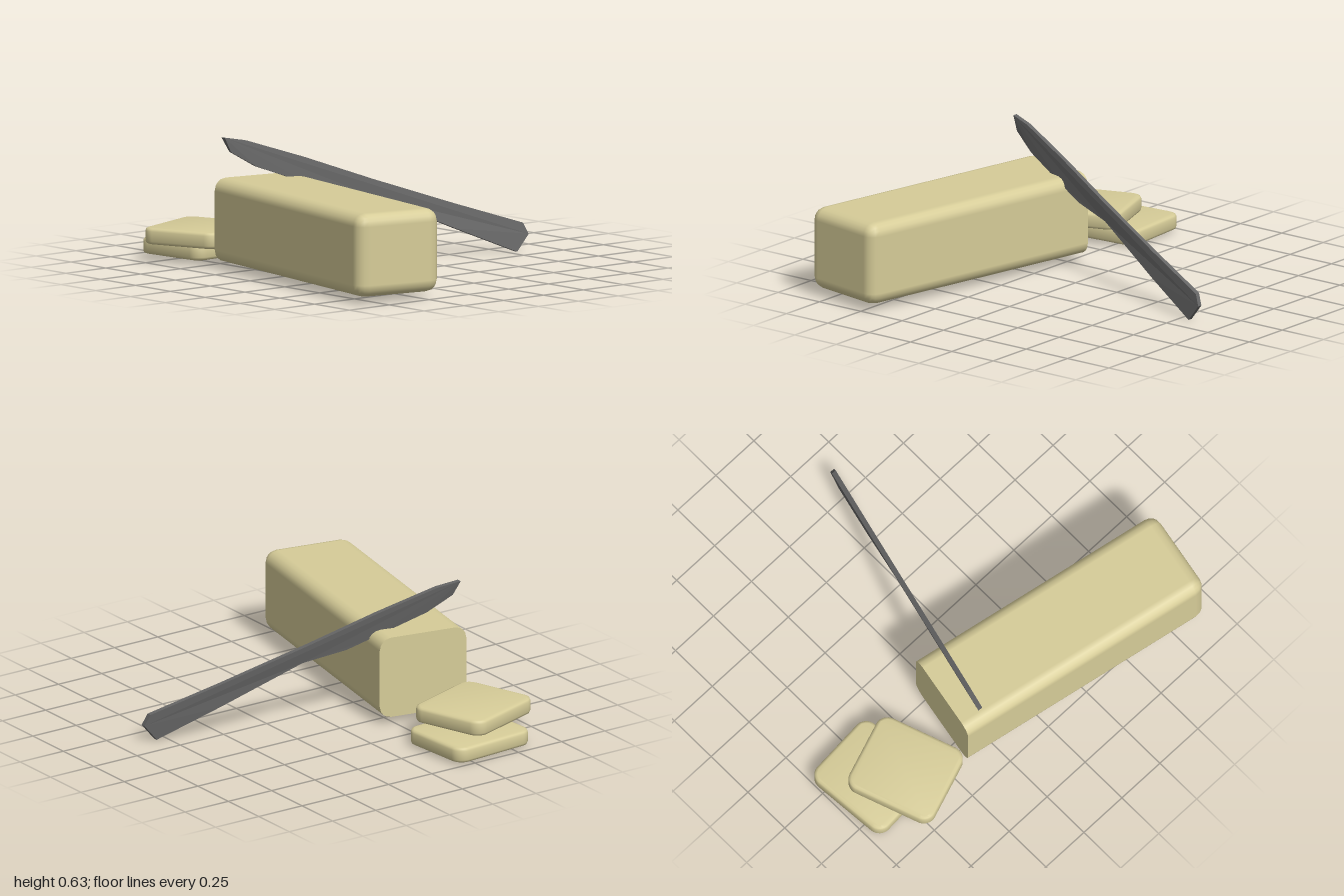
import * as THREE from 'three';
import { RoundedBoxGeometry } from 'three/addons/geometries/RoundedBoxGeometry.js';
import { toCreasedNormals } from 'three/addons/utils/BufferGeometryUtils.js';

const rad = THREE.MathUtils.degToRad;
const butterMat = new THREE.MeshStandardMaterial({ color: 0xd6cc98 });
const knifeMat = new THREE.MeshStandardMaterial({ color: 0x666666 });

// Rounded block whose -x end is cut off flat
function cutBlock(length, height, depth, r) {
  const geo = new RoundedBoxGeometry(length + r, height, depth, 2, r);
  const pos = geo.attributes.position, nor = geo.attributes.normal;
  const cut = -(length - r) / 2;
  for (let i = 0; i < pos.count; i++) pos.setX(i, Math.max(pos.getX(i), cut));
  for (let i = 0; i < pos.count; i += 3) {
    const onCut = [0, 1, 2].every((k) => pos.getX(i + k) < cut + 1e-4);
    if (onCut) for (let k = 0; k < 3; k++) nor.setXYZ(i + k, -1, 0, 0);
  }
  return geo.translate(-r / 2, 0, 0);
}

// Thin slab with rounded corners and softened rims, lying flat
function slice(w, d, h, r, bevel) {
  const x = w / 2 - bevel, y = d / 2 - bevel, q = r - bevel;
  const s = new THREE.Shape();
  s.absarc(x - q, y - q, q, 0, Math.PI / 2);
  s.absarc(-x + q, y - q, q, Math.PI / 2, Math.PI);
  s.absarc(-x + q, -y + q, q, Math.PI, Math.PI * 1.5);
  s.absarc(x - q, -y + q, q, Math.PI * 1.5, Math.PI * 2);
  const geo = new THREE.ExtrudeGeometry(s, {
    depth: h - 2 * bevel, curveSegments: 4,
    bevelThickness: bevel, bevelSize: bevel, bevelSegments: 2,
  });
  geo.translate(0, 0, -h / 2 + bevel).rotateX(-Math.PI / 2);
  return toCreasedNormals(geo, rad(50));
}

// Side outline (z, y) extruded, then laid along a slanted, slightly leaning plane
function knife() {
  const outline = [
    [0.63, 0.635], [0.52, 0.615], [0.24, 0.52], [-0.1, 0.392], [-0.5, 0.25], [-0.84, 0.135],
    [-0.865, 0.08], [-0.8, 0.0], [-0.5, 0.13], [-0.11, 0.305], [0.1, 0.345], [0.22, 0.39],
    [0.48, 0.49], [0.6, 0.565],
  ];
  const shape = new THREE.Shape(outline.map(([z, y]) => new THREE.Vector2(z, y)));
  const geo = new THREE.ExtrudeGeometry(shape, { depth: 1, bevelEnabled: false });
  const pos = geo.attributes.position;
  for (let i = 0; i < pos.count; i++) {
    const z = pos.getX(i), y = pos.getY(i);
    const drop = 0.43 + 0.345 * z - y; // distance below the spine
    const thick = z > -0.2 && drop > 0.05 ? 0.012 : 0.024; // thinner cutting edge
    const x = -0.135 - 0.313 * z + 0.12 * drop + (0.5 - pos.getZ(i)) * thick;
    pos.setXYZ(i, x, y, z);
  }
  geo.computeVertexNormals();
  return geo;
}

export function createModel() {
  const group = new THREE.Group();
  const add = (name, geo, mat, x = 0, y = 0, z = 0, turn = 0) => {
    const mesh = new THREE.Mesh(geo, mat);
    mesh.name = name;
    mesh.position.set(x, y, z);
    mesh.rotation.y = rad(turn);
    group.add(mesh);
  };

  add('butterBlock', cutBlock(1.35, 0.4, 0.45, 0.06), butterMat, 0.303, 0.23, 0.525, -10.7);
  add('lowerSlice', slice(0.4, 0.45, 0.075, 0.06, 0.015), butterMat, -0.785, 0.046, 0.368, 4.5);
  add('upperSlice', slice(0.4, 0.45, 0.077, 0.06, 0.015), butterMat, -0.67, 0.125, 0.472, 19.5);
  add('knife', knife(), knifeMat);
  return group;
}
